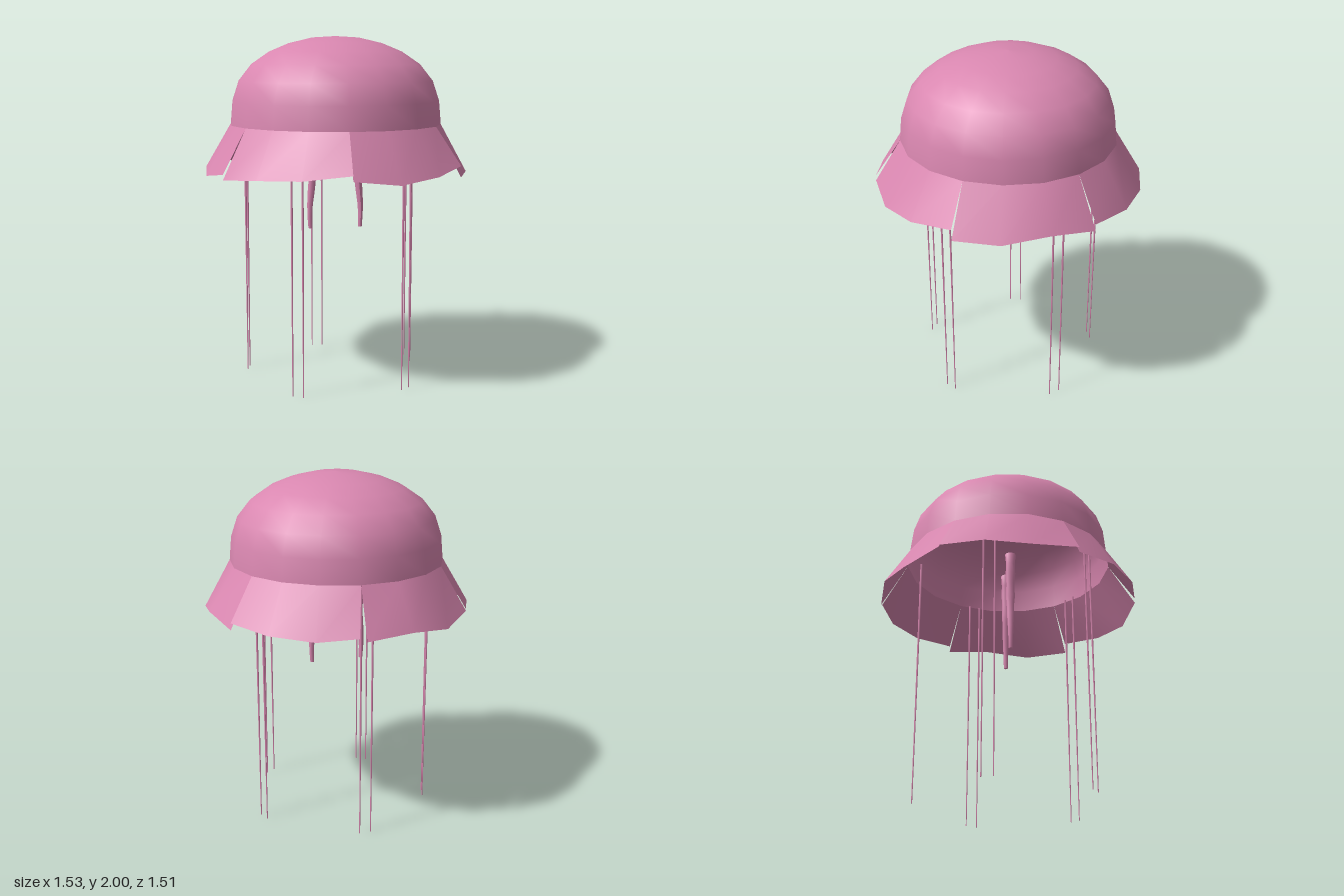
import * as THREE from 'three';

const rad = THREE.MathUtils.degToRad;
const SIDES = 18;

const pink = new THREE.MeshStandardMaterial({ color: 0xd987b0, side: THREE.DoubleSide });
pink.name = 'jelly pink';

function add(parent, name, geometry) {
  const mesh = new THREE.Mesh(geometry, pink);
  mesh.name = name;
  parent.add(mesh);
  return mesh;
}

const toPoints = (list) => list.map(([r, y]) => new THREE.Vector2(r, y));

// One flared panel of the skirt: three facets with an uneven hem
function skirtLobe(start, hem, inset) {
  const positions = [], index = [];
  hem.forEach((y, i) => {
    const a = rad(start + i * 20);
    const b = a + (i === 0 ? rad(inset) : 0);
    positions.push(0.615 * Math.cos(a), 1.495, 0.615 * Math.sin(a));
    positions.push(0.765 * Math.cos(b), y, 0.765 * Math.sin(b));
    if (i < hem.length - 1) {
      const t = i * 2;
      index.push(t, t + 2, t + 3, t, t + 3, t + 1);
    }
  });
  const g = new THREE.BufferGeometry();
  g.setAttribute('position', new THREE.Float32BufferAttribute(positions, 3));
  g.setIndex(index);
  g.computeVertexNormals();
  return g;
}

// Lumpy tapering arm, gently bent along its length
function armGeometry() {
  const g = new THREE.LatheGeometry(toPoints([
    [0, 0.88], [0.012, 0.88], [0.014, 0.95], [0.017, 1.02], [0.021, 1.1], [0.022, 1.17],
    [0.027, 1.22], [0.024, 1.3], [0.029, 1.37], [0.026, 1.43], [0.032, 1.5], [0, 1.5],
  ]), 8);
  const p = g.attributes.position;
  for (let i = 0; i < p.count; i++) {
    const t = (p.getY(i) - 0.88) / 0.62;
    p.setX(i, p.getX(i) - 0.015 * t + 0.006 * Math.sin(t * 9));
  }
  g.computeVertexNormals();
  return g;
}

export function createModel() {
  const model = new THREE.Group();
  model.name = 'jellyfish';

  // Bell
  add(model, 'bell', new THREE.LatheGeometry(toPoints([
    [0.615, 1.495], [0.603, 1.63], [0.565, 1.745], [0.49, 1.84],
    [0.385, 1.912], [0.27, 1.96], [0.135, 1.992], [0, 2],
  ]), SIDES, Math.PI / 2));

  // Skirt of six lobes
  const skirt = new THREE.Group();
  skirt.name = 'skirt';
  model.add(skirt);
  [
    [1.28, 1.245, 1.22, 1.25],
    [1.28, 1.25, 1.24, 1.22],
    [1.25, 1.215, 1.24, 1.26],
    [1.25, 1.215, 1.25, 1.23],
    [1.25, 1.23, 1.24, 1.26],
    [1.22, 1.26, 1.22, 1.215],
  ].forEach((hem, i) => add(skirt, 'skirtLobe', skirtLobe(i * 60, hem, i === 4 ? 3 : 0)));

  // Five pairs of thin tentacles
  const strand = new THREE.CylinderGeometry(0.007, 0.003, 1.46, 6);
  for (let k = 0; k < 5; k++) {
    const a = rad(90 + 72 * k), c = Math.cos(a), s = Math.sin(a);
    for (const side of [-0.033, 0.033]) {
      add(model, 'tentacle', strand).position.set(0.53 * c - side * s, 0.73, 0.53 * s + side * c);
    }
  }

  // Two short inner arms
  const arm = armGeometry();
  for (const side of [1, -1]) {
    const mesh = add(model, 'innerArm', arm);
    mesh.position.set(0.123 * side, 0, -0.086 * side);
    mesh.rotation.y = rad(35) + (side < 0 ? Math.PI : 0);
  }
  return model;
}
